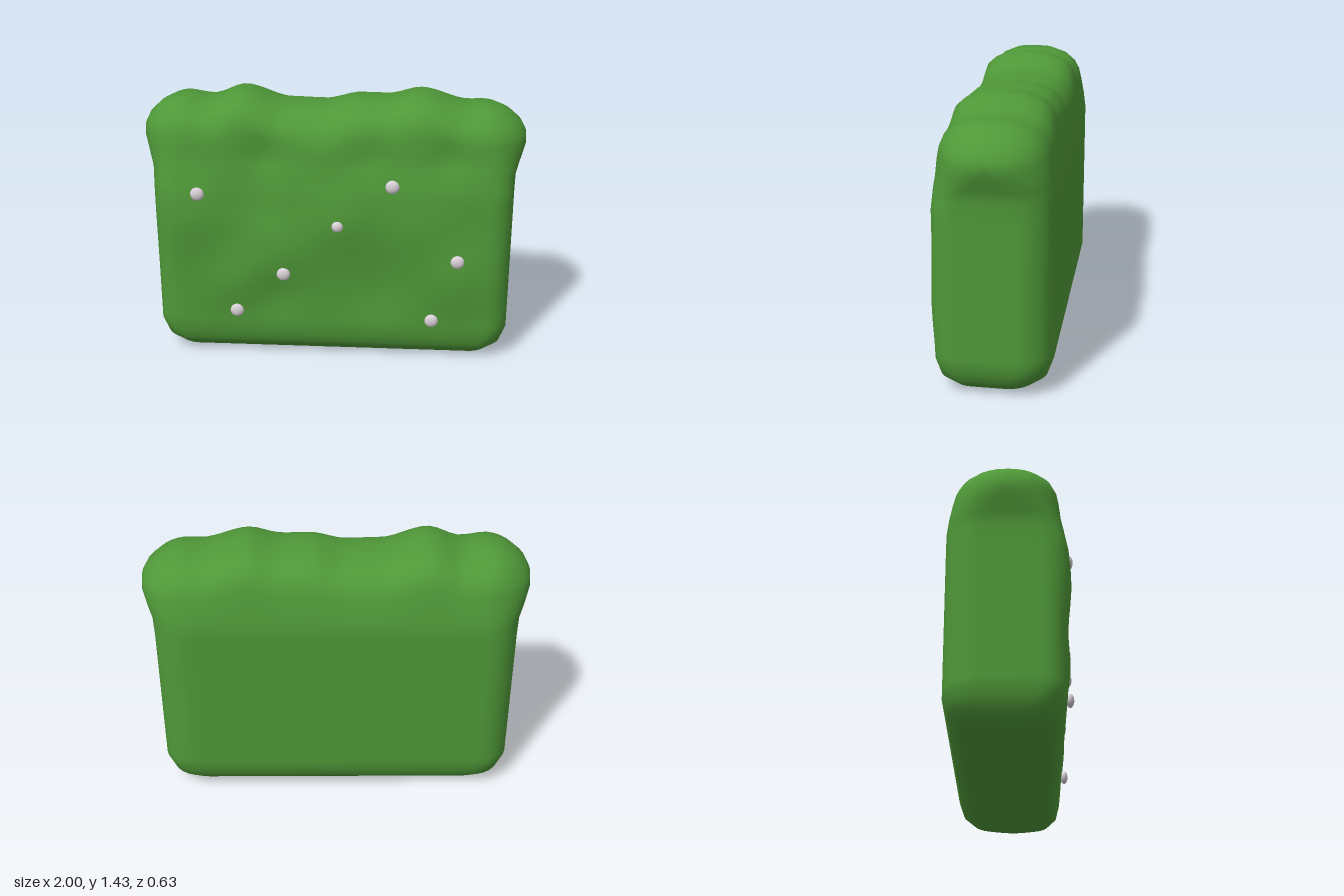
import * as THREE from 'three';
import { mergeVertices } from 'three/addons/utils/BufferGeometryUtils.js';

const { smoothstep, lerp } = THREE.MathUtils;

// Horizontal sections: y, half width, front depth, back depth, front and back corner radius
const SECTIONS = [
  [0.005, 0.77, 0, 0, 0, 0],
  [0.006, 0.79, 0.12, 0.13, 0.09, 0.11],
  [0.03, 0.85, 0.2, 0.22, 0.11, 0.14],
  [0.09, 0.91, 0.25, 0.28, 0.12, 0.16],
  [0.18, 0.94, 0.27, 0.31, 0.12, 0.17],
  [0.95, 0.94, 0.275, 0.31, 0.12, 0.17],
  [1.05, 0.945, 0.265, 0.31, 0.14, 0.18],
  [1.12, 0.97, 0.255, 0.3, 0.18, 0.2],
  [1.2, 0.998, 0.25, 0.285, 0.23, 0.24],
  [1.26, 0.995, 0.24, 0.27, 0.23, 0.24],
  [1.31, 0.97, 0.22, 0.245, 0.22, 0.23],
  [1.35, 0.92, 0.175, 0.2, 0.17, 0.18],
  [1.38, 0.85, 0.105, 0.12, 0.1, 0.1],
  [1.39, 0.76, 0, 0, 0, 0],
];

// Height of the wavy crest along x
const CREST = [[-1, 1.385], [-0.8, 1.402], [-0.65, 1.383], [-0.48, 1.435], [-0.23, 1.37], [-0.05, 1.365],
  [0.13, 1.4], [0.28, 1.398], [0.45, 1.433], [0.7, 1.374], [0.8, 1.378], [1, 1.365]];

// Soft dents and swells on the front face: x, y, radius, depth
const SWELLS = [[-0.72, 0.8, 0.2, 0.028], [-0.25, 0.62, 0.2, 0.028], [0.05, 0.8, 0.18, 0.03],
  [0.65, 0.48, 0.2, 0.028], [-0.5, 0.45, 0.16, 0.025], [0.45, 0.78, 0.2, 0.022],
  [-0.3, 0.37, 0.14, -0.015], [0.25, 0.42, 0.18, -0.015], [-0.42, 0.95, 0.15, -0.015],
  [-0.35, 1.15, 0.1, -0.022], [0.6, 1.15, 0.1, -0.02], [-0.05, 1.15, 0.12, 0.01], [0.2, 1.15, 0.09, -0.012]];

function crestOffset(x) {
  let i = 0;
  while (i < CREST.length - 2 && x > CREST[i + 1][0]) i++;
  const [a, b] = [CREST[i], CREST[i + 1]];
  return lerp(a[1], b[1], smoothstep(x, a[0], b[0])) - 1.39;
}

function swell(x, y) {
  return SWELLS.reduce((sum, [cx, cy, r, d]) => sum + d * Math.exp(-((x - cx) ** 2 + (y - cy) ** 2) / (r * r)), 0);
}

// Rounded rectangle outline, running counter-clockwise from above
function outline([, w, f, b, rf, rb]) {
  const pts = [], arc = 7, long = 40, short = 5;
  const corners = [[w - rf, f - rf, rf], [w - rb, rb - b, rb], [rb - w, rb - b, rb], [rf - w, f - rf, rf]];
  corners.forEach(([cx, cz, r], k) => {
    for (let i = 0; i <= arc; i++) {
      const a = (k + i / arc) * Math.PI / 2;
      pts.push([cx + r * Math.sin(a), cz + r * Math.cos(a)]);
    }
    const [nx, nz, nr] = corners[(k + 1) % 4], a = (k + 1) * Math.PI / 2;
    const from = pts[pts.length - 1], to = [nx + nr * Math.sin(a), nz + nr * Math.cos(a)];
    const n = k % 2 ? long : short;
    for (let i = 1; i < n; i++) pts.push([lerp(from[0], to[0], i / n), lerp(from[1], to[1], i / n)]);
  });
  return pts;
}

function hedgeGeometry() {
  // Subdivide the tall sections so the front can undulate
  const rows = [];
  SECTIONS.forEach((s, i) => {
    rows.push(s);
    const next = SECTIONS[i + 1];
    if (!next) return;
    const n = Math.max(1, Math.round((next[0] - s[0]) / 0.04));
    for (let k = 1; k < n; k++) rows.push(s.map((v, j) => lerp(v, next[j], k / n)));
  });
  const position = [], index = [];
  let count = 0;
  rows.forEach((row, i) => {
    const pts = outline(row), y = row[0];
    count = pts.length;
    for (const [x, z] of pts) {
      const front = smoothstep(z, 0.08, 0.25) * smoothstep(y, 0.12, 0.35) * (1 - smoothstep(y, 1.2, 1.38));
      position.push(x, y + crestOffset(x) * smoothstep(y, 1.05, 1.33), z + front * swell(x, y));
    }
    if (i === 0) return;
    for (let j = 0; j < count; j++) {
      const k = (j + 1) % count, lo = (i - 1) * count, hi = i * count;
      index.push(lo + j, lo + k, hi + k, lo + j, hi + k, hi + j);
    }
  });
  const geometry = new THREE.BufferGeometry();
  geometry.setAttribute('position', new THREE.Float32BufferAttribute(position, 3));
  geometry.setIndex(index);
  const merged = mergeVertices(geometry, 1e-4);
  merged.computeVertexNormals();
  return merged;
}

export function createModel() {
  const group = new THREE.Group();
  group.name = 'hedge';
  const leafGreen = new THREE.MeshStandardMaterial({ color: 0x4f9838 });
  leafGreen.name = 'leafGreen';
  const blossomWhite = new THREE.MeshStandardMaterial({ color: 0xd8d0d6 });
  blossomWhite.name = 'blossomWhite';

  const foliage = new THREE.Mesh(hedgeGeometry(), leafGreen);
  foliage.name = 'foliage';
  group.add(foliage);

  // Small blossoms scattered over the front: x, y, radius
  const bud = new THREE.SphereGeometry(1, 16, 12);
  [[-0.693, 0.946, 0.036], [0.312, 1.008, 0.036], [0.032, 0.787, 0.03], [0.657, 0.6, 0.036],
    [-0.253, 0.505, 0.036], [-0.505, 0.286, 0.036], [0.532, 0.255, 0.036]].forEach(([x, y, r], i) => {
    const blossom = new THREE.Mesh(bud, blossomWhite);
    blossom.name = `blossom${i + 1}`;
    blossom.scale.set(r, r, 0.02);
    const surface = 0.27 + swell(x, y);
    blossom.position.set(x, y, Math.max(0.293, surface + 0.002));
    group.add(blossom);
  });
  return group;
}
